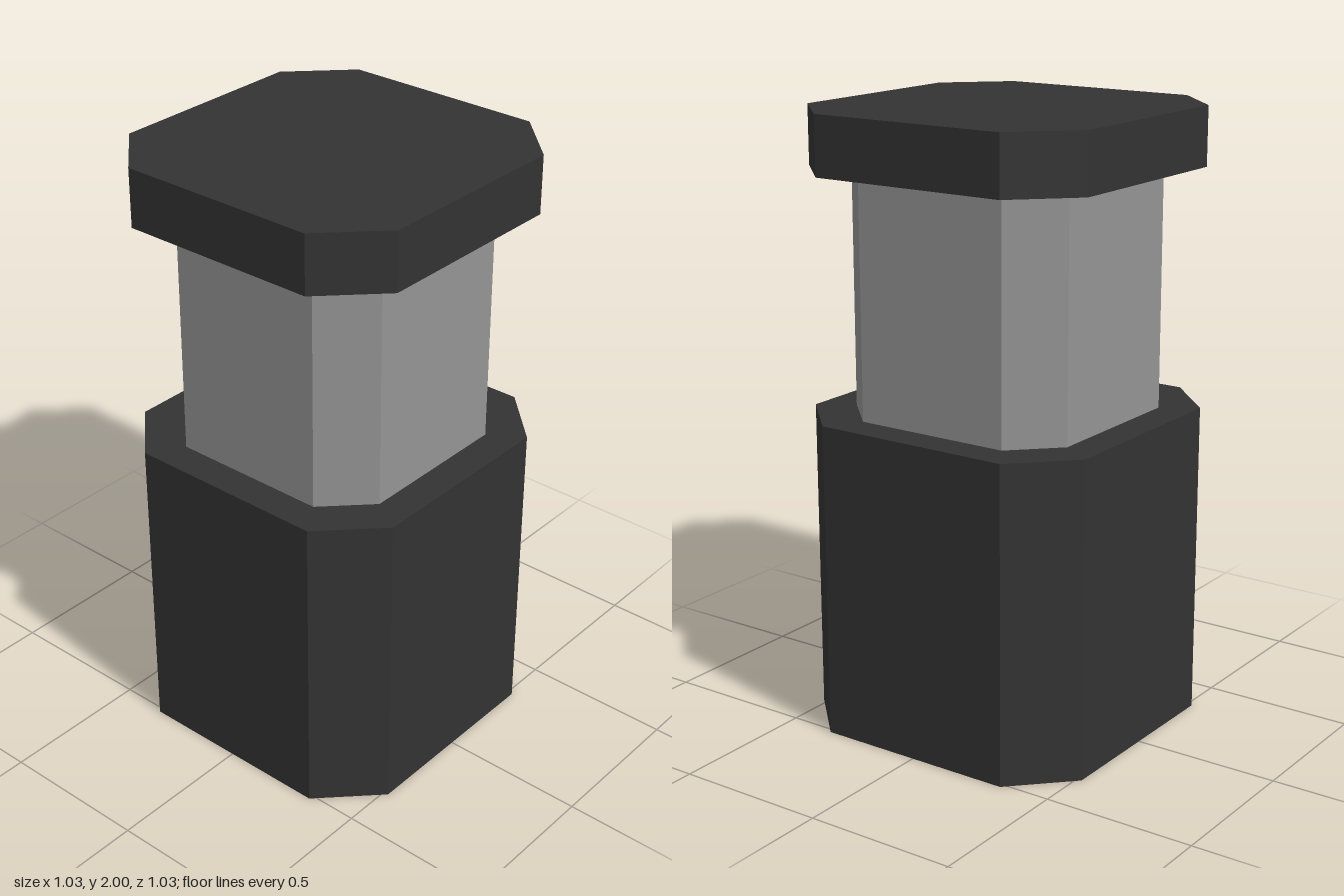
import * as THREE from 'three';

// Upright prism with a square section whose corners are cut at 45 degrees
function chamferedPrism(name, half, flat, y0, y1, material) {
  const corners = [
    [half, -flat], [half, flat], [flat, half], [-flat, half],
    [-half, flat], [-half, -flat], [-flat, -half], [flat, -half],
  ].map(([x, y]) => new THREE.Vector2(x, y));
  const geometry = new THREE.ExtrudeGeometry(new THREE.Shape(corners), {
    depth: y1 - y0,
    bevelEnabled: false,
  });
  geometry.rotateX(-Math.PI / 2);
  geometry.translate(0, y0, 0);
  const mesh = new THREE.Mesh(geometry, material);
  mesh.name = name;
  return mesh;
}

export function createModel() {
  const dark = new THREE.MeshStandardMaterial({ color: 0x333333 });
  dark.name = 'dark casing';
  const grey = new THREE.MeshStandardMaterial({ color: 0x949494 });
  grey.name = 'grey sleeve';

  const model = new THREE.Group();
  model.name = 'canister';
  model.add(
    chamferedPrism('base', 0.517, 0.337, 0, 1.035, dark),
    chamferedPrism('sleeve', 0.406, 0.265, 1.035, 1.81, grey),
    chamferedPrism('cap', 0.517, 0.337, 1.81, 2, dark),
  );
  return model;
}
